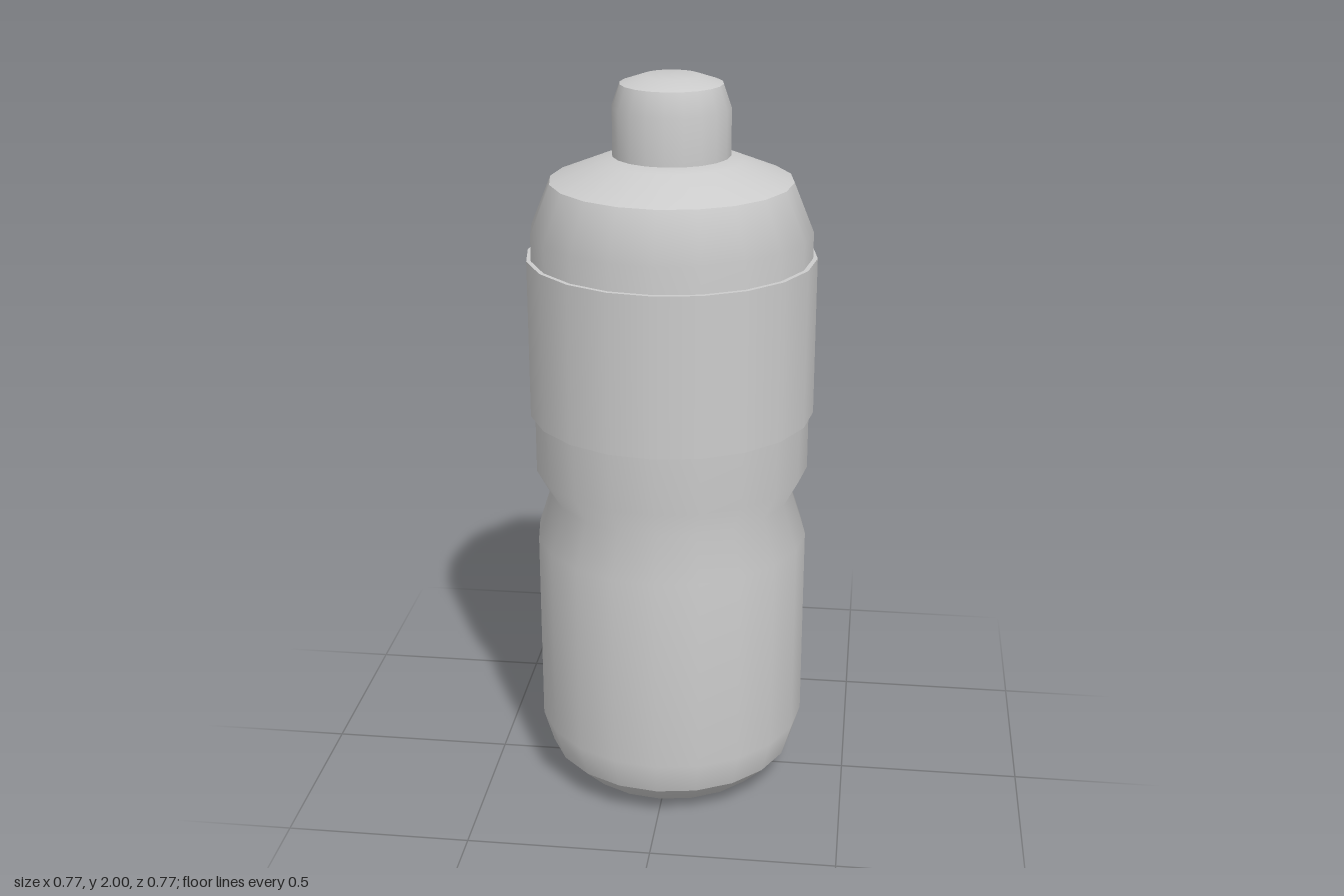
import * as THREE from 'three';

const SIDES = 20;
const material = new THREE.MeshStandardMaterial({ color: 0xcccccc });

// Turned part: each section is a smooth run of [radius, y]; sharp edges fall between sections
function turned(name, sections) {
  const part = new THREE.Group();
  part.name = name;
  sections.forEach((section, i) => {
    const points = section.map(([r, y]) => new THREE.Vector2(r, y));
    const mesh = new THREE.Mesh(new THREE.LatheGeometry(points, SIDES), material);
    mesh.name = `${name}Section${i + 1}`;
    part.add(mesh);
  });
  return part;
}

export function createModel() {
  const bottle = new THREE.Group();
  bottle.name = 'bottle';

  // Body: rounded base, pinched grip, sloping shoulder
  bottle.add(turned('body', [
    [[0, 0], [0.2, 0.005], [0.28, 0.03], [0.345, 0.095]],
    [[0.345, 0.095], [0.373, 0.19], [0.373, 0.74], [0.333, 0.865],
      [0.373, 0.94], [0.373, 1.6], [0.32, 1.73]],
    [[0.32, 1.73], [0.185, 1.785], [0.125, 1.79]],
  ]));

  // Raised band around the upper body
  const inner = 0.37, outer = 0.385, low = 1.1, high = 1.53;
  bottle.add(turned('sleeve', [
    [[inner, low], [outer, low]],
    [[outer, low], [outer, high]],
    [[outer, high], [inner, high]],
  ]));

  // Neck and cap
  bottle.add(turned('neck', [[[0.128, 1.775], [0.128, 1.8]]]));
  bottle.add(turned('cap', [
    [[0.12, 1.796], [0.155, 1.796]],
    [[0.155, 1.796], [0.155, 1.92], [0.134, 1.98]],
    [[0.134, 1.98], [0.075, 2], [0, 2]],
  ]));

  return bottle;
}
